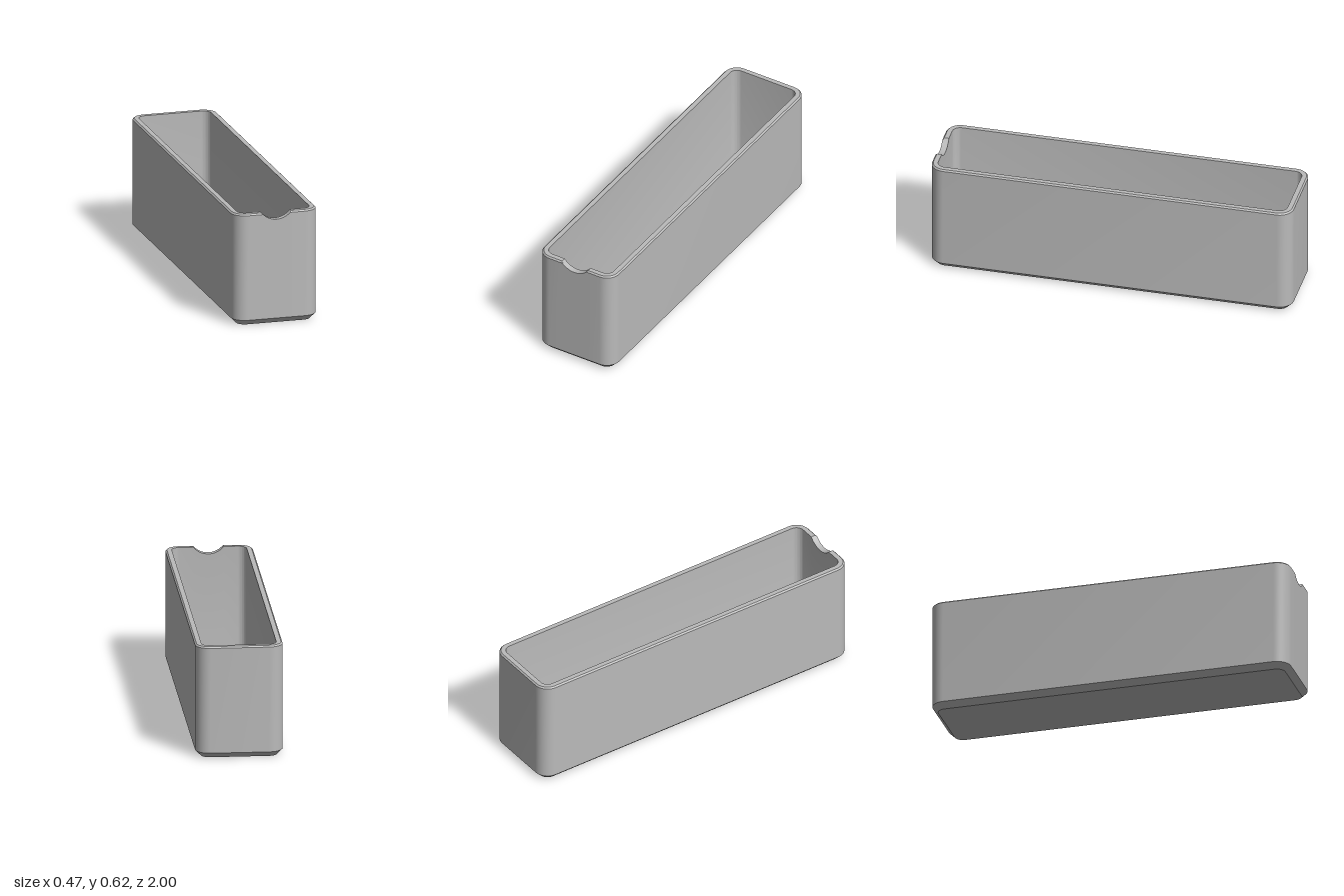
import * as THREE from 'three';
import { toCreasedNormals } from 'three/addons/utils/BufferGeometryUtils.js';

const HX = 0.236, HZ = 1, H = 0.624, R = 0.078; // half width, half depth, height, corner radius
const WALL = 0.034, FLOOR = 0.035, FILLET = 0.016, LIP = 0.008, FOOT = 0.031;
const NOTCH_R = 0.104, NOTCH_Y = 0.688; // thumb notch circle
const chord = (y) => Math.sqrt(NOTCH_R ** 2 - (NOTCH_Y - y) ** 2);

// x positions along the front edge that trace the notch, right to left
function notchXs() {
  const xs = [chord(H), chord(H - LIP)];
  for (let i = 1; i < 18; i++) xs.push(chord(H - LIP) * Math.cos((i / 18) * Math.PI));
  return [...xs, -chord(H - LIP), -chord(H)];
}

// Rounded-rectangle ring at a given inset and height, dipping along the notch
function ring([inset, y]) {
  const pts = [], r = R - inset, cx = HX - R, cz = HZ - R, n = 10;
  for (let q = 0; q < 4; q++) {
    const sx = q === 0 || q === 3 ? 1 : -1, sz = q < 2 ? 1 : -1;
    for (let i = 0; i <= n; i++) {
      const a = (q + i / n) * Math.PI / 2;
      pts.push(new THREE.Vector3(sx * cx + r * Math.cos(a), y, sz * cz + r * Math.sin(a)));
    }
    if (q === 0) for (const x of notchXs()) {
      const cut = NOTCH_Y - Math.sqrt(NOTCH_R ** 2 - x * x);
      pts.push(new THREE.Vector3(x, Math.min(y, cut), cz + r));
    }
  }
  return pts;
}

// Skin between successive rings; optional flat caps close the first or last ring
function loft(profile, capStart, capEnd) {
  const rings = profile.map(ring);
  const centre = (r) => r.map(() => new THREE.Vector3(0, r[0].y, 0));
  if (capStart) rings.unshift(centre(rings[0]));
  if (capEnd) rings.push(centre(rings[rings.length - 1]));
  const pos = [];
  const tri = (...t) => {
    if (new THREE.Triangle(...t).getArea() > 1e-9) t.forEach((p) => pos.push(p.x, p.y, p.z));
  };
  for (let k = 0; k < rings.length - 1; k++) {
    const lo = rings[k], hi = rings[k + 1];
    lo.forEach((a, i) => {
      const j = (i + 1) % lo.length;
      tri(a, hi[i], lo[j]);
      tri(lo[j], hi[i], hi[j]);
    });
  }
  const g = new THREE.BufferGeometry();
  g.setAttribute('position', new THREE.Float32BufferAttribute(pos, 3));
  return toCreasedNormals(g, 0.5);
}

export function createModel() {
  const group = new THREE.Group();
  group.name = 'storageBin';
  const grey = new THREE.MeshStandardMaterial({ color: 0xbababa });
  grey.name = 'grey plastic';
  const add = (name, geometry) => {
    const mesh = new THREE.Mesh(geometry, grey);
    mesh.name = name;
    group.add(mesh);
  };

  // Outside walls with a chamfered foot and flat underside
  add('outerShell', loft([[FOOT, 0], [0, FOOT], [0, H - LIP]], true, false));

  // Top edge with a small outer chamfer and the thumb notch
  add('rim', loft([[0, H - LIP], [LIP, H], [WALL, H]], false, false));

  // Inside walls, rounded into the floor
  const inside = [[WALL, H]];
  for (let i = 0; i <= 5; i++) {
    const a = (i / 5) * Math.PI / 2;
    inside.push([WALL + FILLET * (1 - Math.cos(a)), FLOOR + FILLET * (1 - Math.sin(a))]);
  }
  add('innerCavity', loft(inside, false, true));

  return group;
}
